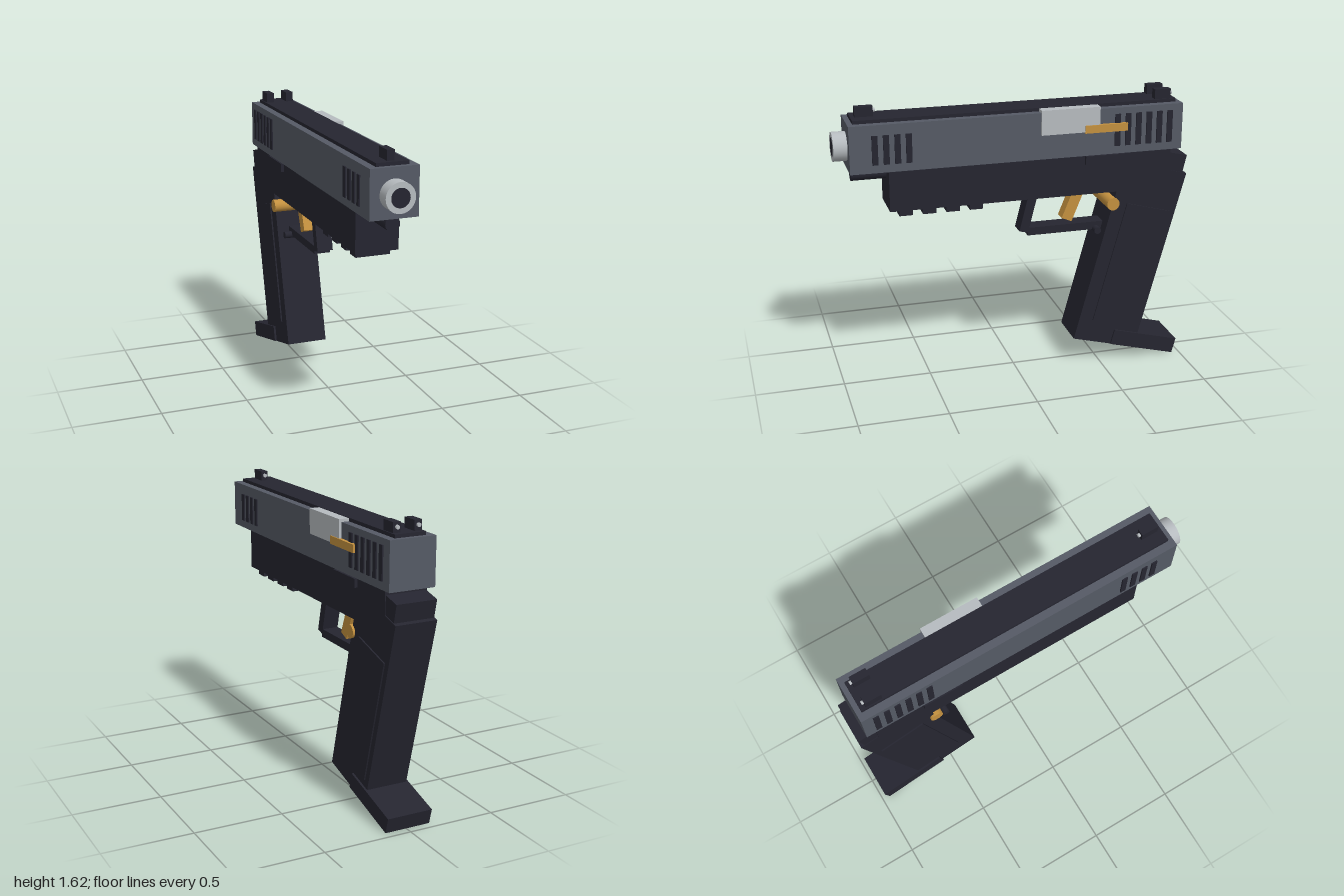
import * as THREE from 'three';

const mat = (name, color) => {
  const m = new THREE.MeshStandardMaterial({ color });
  m.name = name;
  return m;
};

export function createModel() {
  const model = new THREE.Group();
  model.name = 'pistol';
  model.position.x = -0.008;

  const steel = mat('slideSteel', 0x555a65);
  const polymer = mat('darkPolymer', 0x252530);
  const gold = mat('gold', 0xc4913f);
  const silver = mat('silver', 0xb6bbbf);

  const add = (name, geometry, material, x, y, z, tilt = 0) => {
    const mesh = new THREE.Mesh(geometry, material);
    mesh.name = name;
    mesh.position.set(x, y, z);
    mesh.rotation.x = tilt;
    model.add(mesh);
    return mesh;
  };
  // Box from ranges [min, max] on each axis
  const block = (name, material, [x0, x1], [y0, y1], [z0, z1]) =>
    add(name, new THREE.BoxGeometry(x1 - x0, y1 - y0, z1 - z0), material,
      (x0 + x1) / 2, (y0 + y1) / 2, (z0 + z1) / 2);
  // Box centred on x = 0, tilted in the side plane
  const tilted = (name, material, w, h, d, y, z, degrees) =>
    add(name, new THREE.BoxGeometry(w, h, d), material, 0, y, z, THREE.MathUtils.degToRad(degrees));
  const alongZ = (r, l, n = 24) => new THREE.CylinderGeometry(r, r, l, n).rotateX(Math.PI / 2);
  const alongX = (r, l, n = 24) => new THREE.CylinderGeometry(r, r, l, n).rotateZ(Math.PI / 2);

  // Slide and top rib
  block('slide', steel, [-0.132, 0.132], [1.281, 1.543], [-0.95, 0.925]);
  block('topRib', polymer, [-0.089, 0.089], [1.53, 1.562], [-0.922, 0.896]);

  // Slide serrations, showing on both sides
  for (let i = 0; i < 4; i++) {
    const z = 0.79 - i * 0.061;
    block('frontSerration', polymer, [-0.139, 0.139], [1.326, 1.486], [z - 0.016, z + 0.016]);
  }
  for (let i = 0; i < 6; i++) {
    const z = -0.565 - i * 0.0615;
    block('rearSerration', polymer, [-0.139, 0.139], [1.326, 1.508], [z - 0.016, z + 0.016]);
  }

  // Ejection port and extractor, left side only
  block('ejectionPort', silver, [0.087, 0.146], [1.42, 1.559], [-0.458, -0.123]);
  block('extractor', gold, [0.1, 0.152], [1.414, 1.458], [-0.619, -0.372]);

  // Sights with pale aiming dots on their rear faces
  block('frontSight', polymer, [-0.02, 0.02], [1.55, 1.617], [0.774, 0.873]);
  add('frontSightDot', alongZ(0.011, 0.02, 12), silver, 0, 1.592, 0.771);
  for (const side of [-1, 1]) {
    const x = side * 0.0605;
    block('rearSight', polymer, [x - 0.0215, x + 0.0215], [1.55, 1.617], [-0.893, -0.8]);
    add('rearSightDot', alongZ(0.011, 0.02, 12), silver, x, 1.592, -0.895);
  }

  // Barrel and guide rod
  add('barrel', alongZ(0.08, 0.2, 32), silver, 0, 1.406, 0.9);
  add('bore', alongZ(0.051, 0.02, 32), polymer, 0, 1.406, 0.991);
  add('guideRod', alongZ(0.04, 0.3), polymer, 0, 1.25, 0.758);

  // Frame, accessory rail and slide stop
  block('frame', polymer, [-0.12, 0.12], [1.052, 1.276], [-0.892, 0.718]);
  for (let i = 0; i < 4; i++) {
    const z = 0.627 - i * 0.131;
    block('railBlock', polymer, [-0.096, 0.096], [1.015, 1.07], [z - 0.0375, z + 0.0375]);
  }
  block('slideStop', polymer, [-0.139, 0.139], [1.23, 1.278], [-0.613, -0.383]);

  // Trigger guard
  tilted('guardStrut', polymer, 0.093, 0.27, 0.052, 0.965, -0.084, -14);
  block('guardBar', polymer, [-0.047, 0.047], [0.811, 0.857], [-0.535, -0.075]);
  add('magazineRelease', alongX(0.02, 0.18, 16), polymer, 0, 0.815, -0.48);

  // Trigger and cross pin
  tilted('trigger', gold, 0.07, 0.24, 0.064, 0.991, -0.354, -22);
  add('crossPin', alongX(0.037, 0.266), gold, 0, 0.982, -0.554);

  // Raked grip with side panels, tail and base plate
  tilted('grip', polymer, 0.24, 1.097, 0.388, 0.645, -0.667, -15);
  tilted('gripPanels', polymer, 0.256, 0.728, 0.272, 0.59, -0.677, -15);
  tilted('beavertail', polymer, 0.232, 0.105, 0.15, 1.197, -0.911, -13);
  tilted('basePlate', polymer, 0.264, 0.091, 0.404, 0.098, -0.771, -15);

  return model;
}
